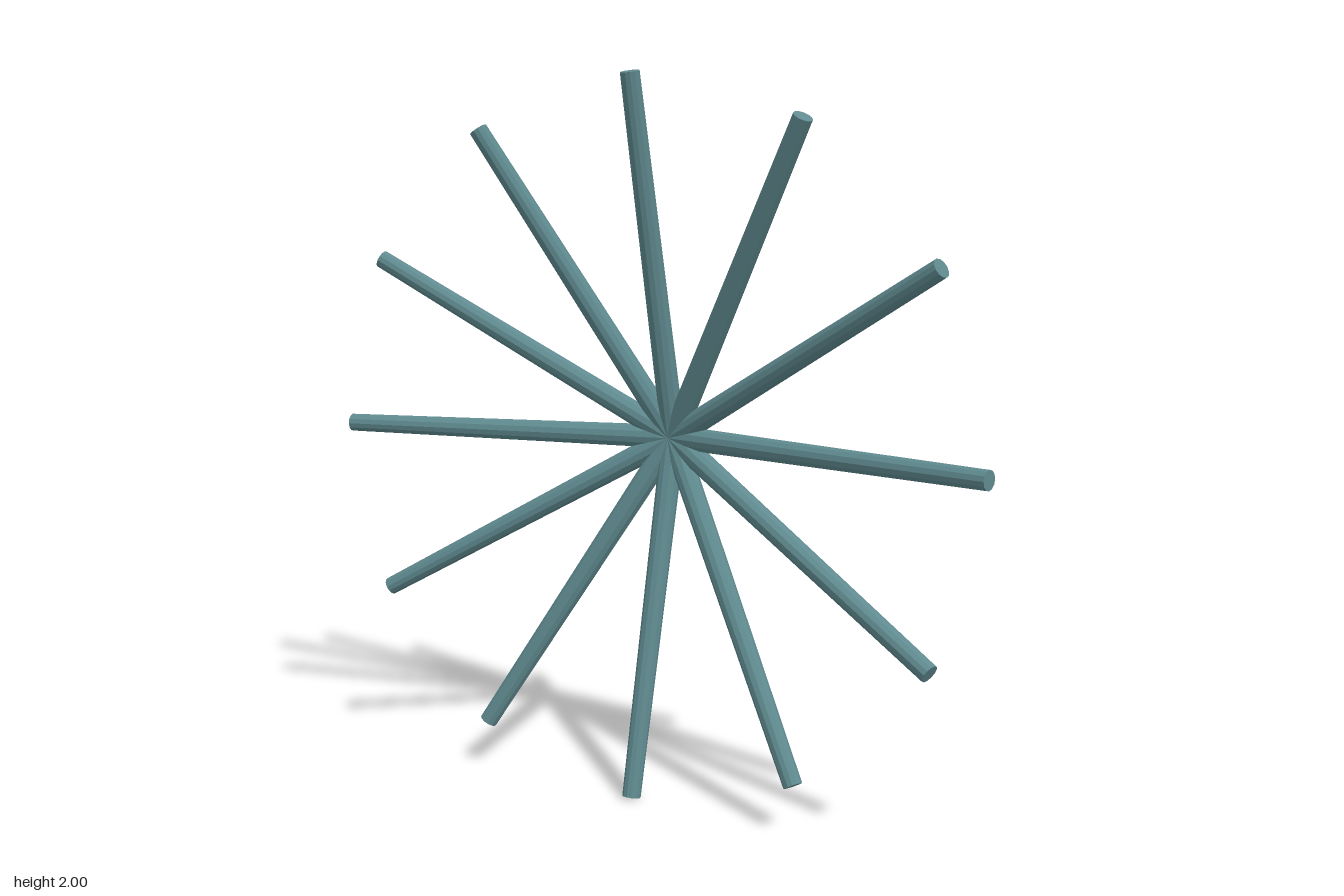
import * as THREE from 'three';

const ARM_COUNT = 12;
const TIP_RADIUS = 0.026;
const BASE_RADIUS = 0.034;

export function createModel() {
  const model = new THREE.Group();
  model.name = 'radialBurst';

  const teal = new THREE.MeshStandardMaterial({ color: 0x5f8a8f, flatShading: true });
  teal.name = 'dusty teal';

  // Shared tapered rod, running from the hub at the back to a tip at the front
  const base = new THREE.Vector3(0, 1, -0.113);
  const reach = 0.994;
  const tipZ = 0.121;
  const length = Math.hypot(reach, tipZ - base.z);
  const rod = new THREE.CylinderGeometry(TIP_RADIUS, BASE_RADIUS, length, 12);
  rod.translate(0, length / 2, 0);
  rod.rotateX(Math.atan2(tipZ - base.z, reach));

  // Twelve arms fanned evenly around the hub
  for (let i = 0; i < ARM_COUNT; i++) {
    const arm = new THREE.Mesh(rod, teal);
    arm.name = `arm${i + 1}`;
    arm.position.copy(base);
    arm.rotation.z = (i / ARM_COUNT) * Math.PI * 2;
    model.add(arm);
  }
  return model;
}
